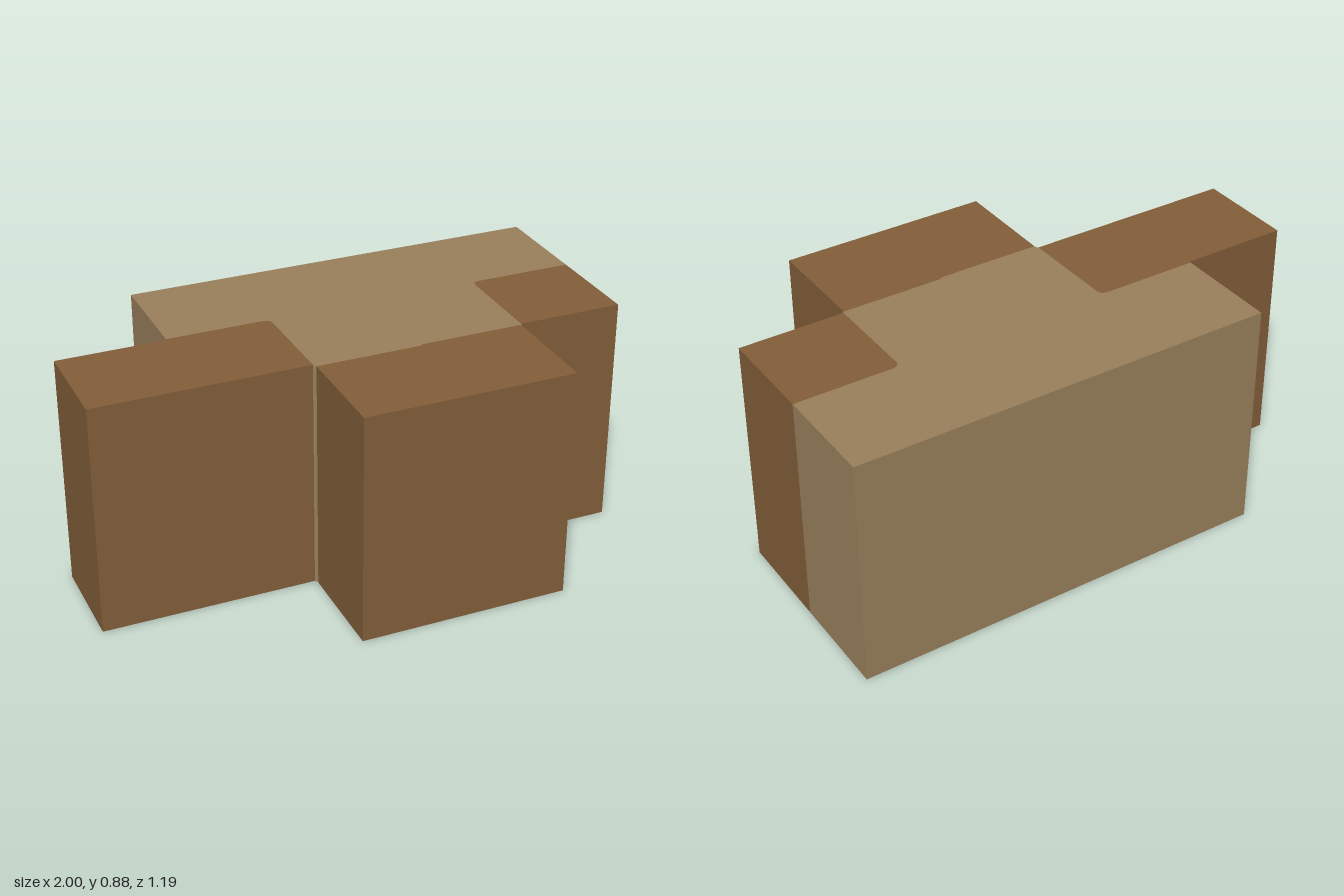
import * as THREE from 'three';

const HEIGHT = 0.88;

// Extrudes a plan outline of [x, z] points upward. A point with four numbers
// is the end of a rounded corner: [x, z, controlX, controlZ].
function block(name, plan, material) {
  const shape = new THREE.Shape();
  plan.forEach(([x, z, cx, cz], i) => {
    if (i === 0) shape.moveTo(x, -z);
    else if (cx !== undefined) shape.quadraticCurveTo(cx, -cz, x, -z);
    else shape.lineTo(x, -z);
  });
  shape.closePath();
  const geometry = new THREE.ExtrudeGeometry(shape, { depth: HEIGHT, bevelEnabled: false, curveSegments: 5 });
  geometry.rotateX(-Math.PI / 2);
  const mesh = new THREE.Mesh(geometry, material);
  mesh.name = name;
  return mesh;
}

export function createModel() {
  const lightWood = new THREE.MeshStandardMaterial({ color: 0x9b815d });
  lightWood.name = 'lightWood';
  const darkWood = new THREE.MeshStandardMaterial({ color: 0x845f3a });
  darkWood.name = 'darkWood';

  const group = new THREE.Group();
  group.name = 'steppedBlock';
  group.add(
    // Pale T-shaped core with softened inner corners
    block('core', [
      [-0.595, -0.597], [0.997, -0.597], [0.997, -0.2], [0.63, -0.2], [0.6, -0.17, 0.6, -0.2],
      [0.6, 0.192], [0.21, 0.192], [0.2, 0.2], [-0.19, 0.2], [-0.2, 0.185],
      [-0.205, -0.17], [-0.235, -0.2, -0.205, -0.2], [-0.595, -0.2],
    ], lightWood),
    // Dark arm reaching past the core
    block('rightArm', [
      [-1, -0.193], [-0.595, -0.193], [-0.595, -0.2], [-0.235, -0.2],
      [-0.205, -0.17, -0.205, -0.2], [-0.2, 0.185], [-1, 0.185],
    ], darkWood),
    // Dark arm flush with the core's end
    block('leftArm', [
      [0.997, -0.2], [0.997, 0.185], [0.6, 0.185], [0.6, -0.17], [0.63, -0.2, 0.6, -0.2],
    ], darkWood),
    // Dark block projecting forward
    block('frontBlock', [
      [-0.193, 0.2], [0.2, 0.2], [0.21, 0.192], [0.595, 0.192], [0.595, 0.597], [-0.193, 0.597],
    ], darkWood),
  );
  return group;
}
